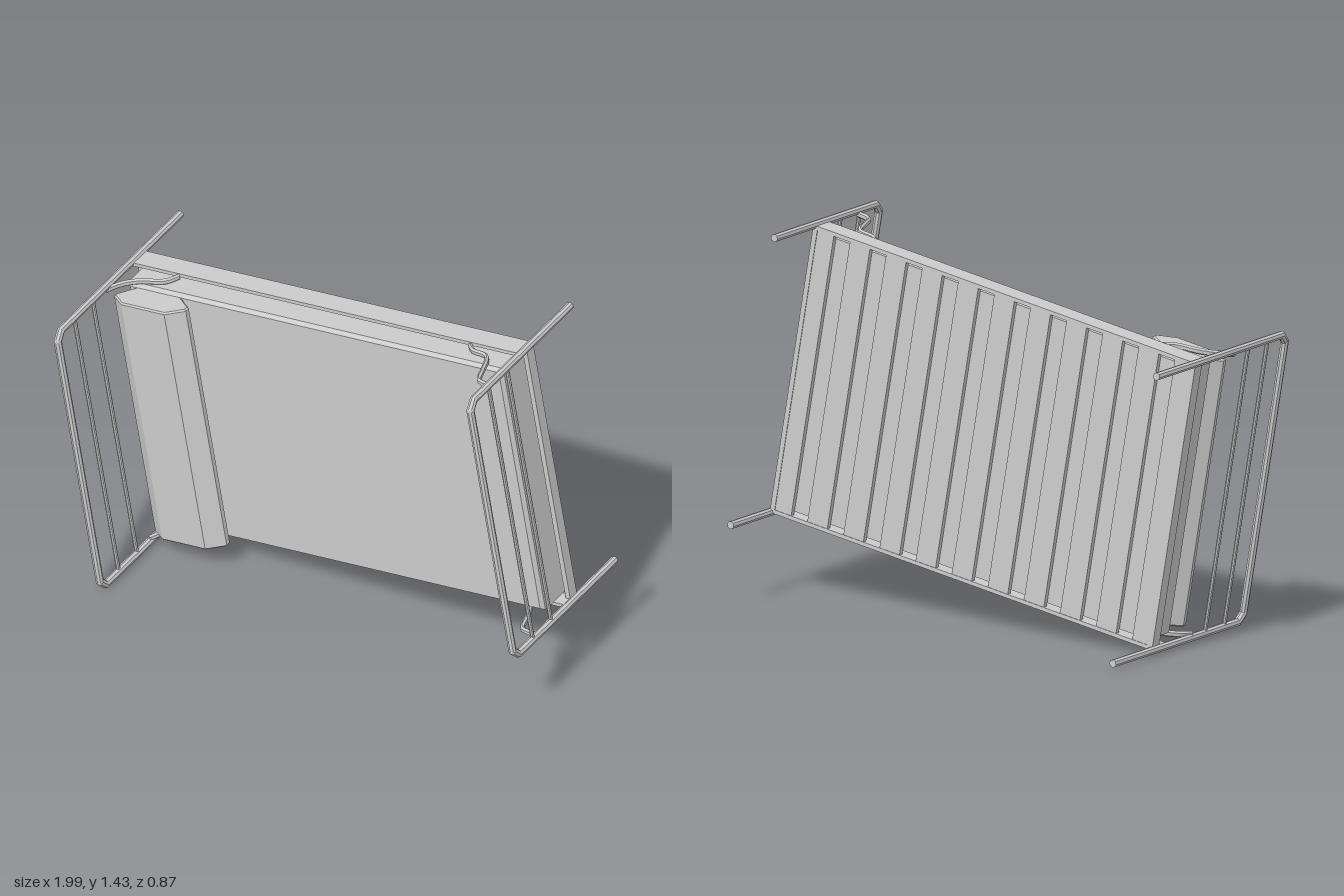
import * as THREE from 'three';

const mat = new THREE.MeshStandardMaterial({ color: 0xcccccc, flatShading: true });

function add(parent, name, geo, x = 0, y = 0, z = 0) {
  const m = new THREE.Mesh(geo, mat);
  m.name = name;
  m.position.set(x, y, z);
  parent.add(m);
  return m;
}

// Round bar between two points
function rod(parent, name, a, b, r) {
  const d = b.clone().sub(a);
  const m = add(parent, name, new THREE.CylinderGeometry(r, r, d.length(), 8));
  m.position.copy(a).addScaledVector(d, 0.5);
  m.quaternion.setFromUnitVectors(new THREE.Vector3(0, 1, 0), d.normalize());
}

// Prism running across the bed (along z) from a profile in x, y
function prism(points, length, bevel = 0) {
  const shape = new THREE.Shape(points.map(([x, y]) => new THREE.Vector2(x, y)));
  const geo = new THREE.ExtrudeGeometry(shape, {
    depth: length - 2 * bevel, bevelEnabled: bevel > 0, bevelSize: bevel,
    bevelThickness: bevel, bevelOffset: -bevel, bevelSegments: 1,
  });
  return geo.translate(0, 0, -length / 2 + bevel);
}

// Bent tube end: two legs, chamfered corners, top rail and two thin bars
function endRail(name, x, top, bars) {
  const g = new THREE.Group();
  g.name = name;
  const half = 0.563, r = 0.015, c = 0.03, bottom = -0.43;
  const path = [
    [bottom, -half], [top - c, -half], [top, -half + c],
    [top, half - c], [top - c, half], [bottom, half],
  ].map(([y, z]) => new THREE.Vector3(x, y, z));
  for (let i = 0; i < path.length - 1; i++) {
    rod(g, i === 0 || i === 4 ? 'leg' : 'railTube', path[i], path[i + 1], r);
    if (i > 0) add(g, 'bend', new THREE.SphereGeometry(r, 8, 6), ...path[i].toArray());
  }
  for (const y of bars) {
    rod(g, 'crossBar', new THREE.Vector3(x, y, -half), new THREE.Vector3(x, y, half), 0.008);
  }
  return g;
}

export function createModel() {
  const bed = new THREE.Group();
  bed.name = 'bed';

  // Head and foot rails
  bed.add(endRail('headRail', -0.863, 0.415, [0.295, 0.17]));
  bed.add(endRail('footRail', 0.863, 0.26, [0.13, 0.005]));

  // Frame
  for (const s of [-1, 1]) {
    add(bed, 'sideRail', new THREE.BoxGeometry(1.72, 0.085, 0.015), 0, -0.132, s * 0.556);
    add(bed, 'endBeam', new THREE.BoxGeometry(0.02, 0.045, 1.11), s * 0.853, -0.152, 0);
  }

  // Slats
  const slats = 11, pitch = 0.163;
  for (let i = 0; i < slats; i++) {
    add(bed, 'slat', new THREE.BoxGeometry(0.09, 0.018, 1.1), (i - (slats - 1) / 2) * pitch, -0.163, 0);
  }

  // Mattress with chamfered upper edges
  const mattress = new THREE.BoxGeometry(1.655, 0.15, 1.07, 1, 2, 1);
  const p = mattress.attributes.position;
  for (let i = 0; i < p.count; i++) {
    const y = p.getY(i);
    if (y > 0.01) {
      p.setX(i, p.getX(i) - Math.sign(p.getX(i)) * 0.012);
      p.setZ(i, p.getZ(i) - Math.sign(p.getZ(i)) * 0.012);
    } else if (y > -0.01) p.setY(i, 0.06);
  }
  mattress.computeVertexNormals();
  add(bed, 'mattress', mattress, 0, -0.079, 0);

  // Pillow
  add(bed, 'pillow', prism([
    [-0.155, 0.005], [-0.1, -0.058], [0.09, -0.058], [0.155, -0.01],
    [0.155, 0.01], [0.09, 0.058], [-0.1, 0.058], [-0.155, 0.02],
  ], 1.05, 0.006), -0.684, 0.05, 0);

  // Loose straps from the side rails to the four posts
  for (const sx of [-1, 1]) {
    const pts = sx < 0
      ? [[-0.65, -0.09], [-0.68, -0.045], [-0.777, -0.01], [-0.83, 0.03], [-0.863, 0.085]]
      : [[0.64, -0.087], [0.67, -0.06], [0.738, -0.046], [0.78, 0.05], [0.8, 0.1], [0.863, 0.115]];
    for (const sz of [-1, 1]) {
      const curve = new THREE.CatmullRomCurve3(pts.map(([x, y]) => new THREE.Vector3(x, y, 0)));
      const strap = add(bed, 'strap', new THREE.TubeGeometry(curve, 16, 0.009, 6), 0, 0, sz * 0.55);
      strap.scale.z = 1.4;
    }
  }

  // Tip the bed onto its side
  const along = new THREE.Vector3(1.695, 0.284, 0.16).normalize();
  const up = new THREE.Vector3(-0.09, -0.012, 0.996);
  up.addScaledVector(along, -up.dot(along)).normalize();
  const across = new THREE.Vector3().crossVectors(along, up);
  bed.quaternion.setFromRotationMatrix(new THREE.Matrix4().makeBasis(along, up, across));
  bed.position.set(0.0025, 0.72, 0.08);

  const model = new THREE.Group();
  model.name = 'tippedBed';
  model.add(bed);
  return model;
}
